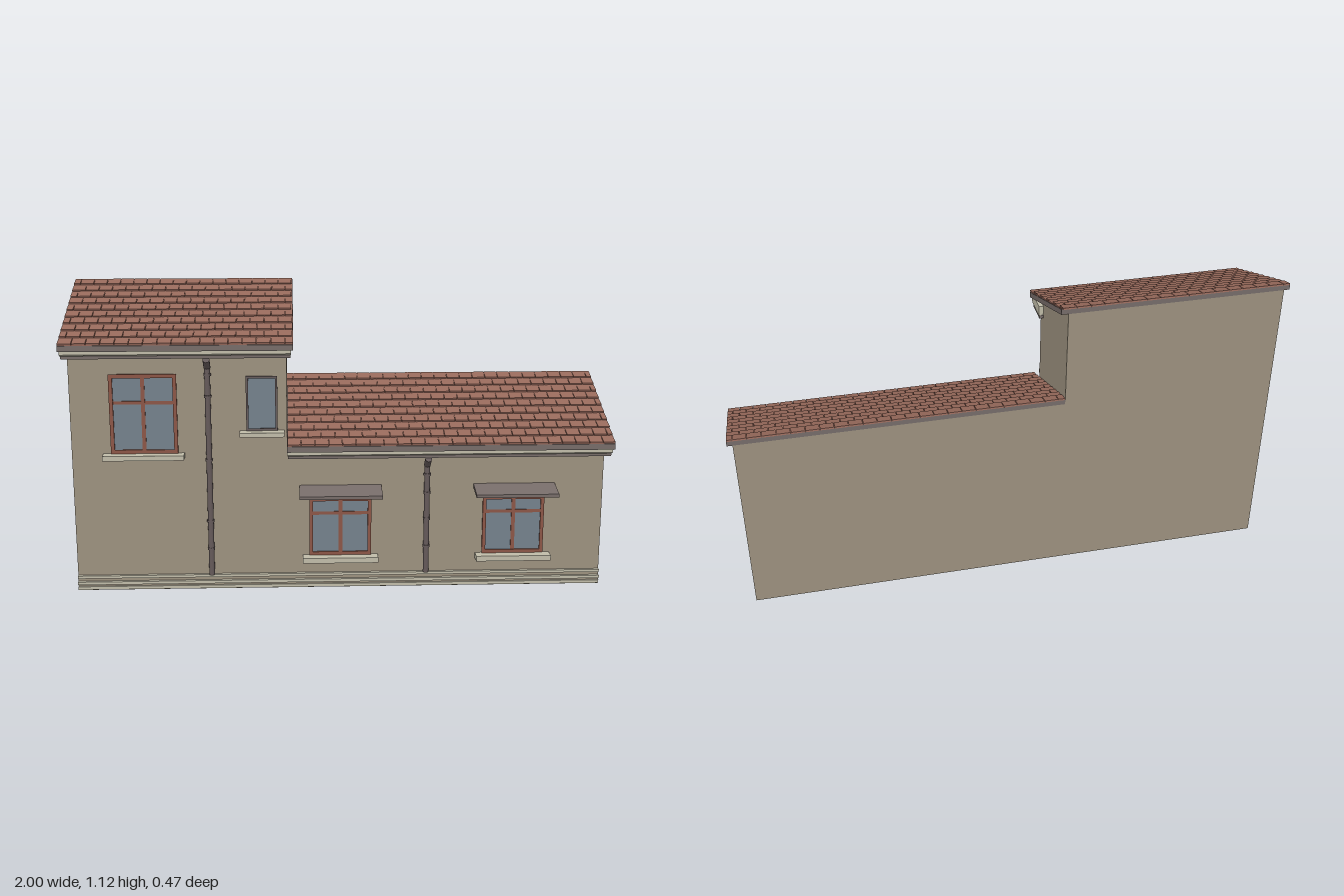
import * as THREE from 'three';
import { mergeGeometries } from 'three/addons/utils/BufferGeometryUtils.js';

const mat = (name, color) => {
  const m = new THREE.MeshStandardMaterial({ color });
  m.name = name;
  return m;
};

const BACK = -0.23, WALL = 0.145, EAVE = 0.222; // main depths along z
const SLOPE = 0.4, ANGLE = Math.atan(SLOPE);

export function createModel() {
  const M = {
    wall: mat('wall plaster', 0x9c917f),
    tile: mat('clay tile', 0x96695b),
    grey: mat('grey trim', 0x766c69),
    pipe: mat('dark pipe', 0x655a5a),
    cream: mat('cream stone', 0xc0bca9),
    frame: mat('brown frame', 0x8c5646),
    glass: mat('glass', 0x74818c),
  };
  const root = new THREE.Group();
  root.name = 'house';

  const group = (name, parent = root) => {
    const g = new THREE.Group();
    g.name = name;
    parent.add(g);
    return g;
  };
  const add = (parent, name, geo, material) => {
    const m = new THREE.Mesh(geo, material);
    m.name = name;
    parent.add(m);
    return m;
  };
  // box given by its limits
  const boxGeo = (x0, x1, y0, y1, z0, z1) =>
    new THREE.BoxGeometry(x1 - x0, y1 - y0, z1 - z0)
      .translate((x0 + x1) / 2, (y0 + y1) / 2, (z0 + z1) / 2);
  const box = (parent, name, material, ...b) => add(parent, name, boxGeo(...b), material);
  // side profile of [z, y] points swept along x
  const sweep = (parent, name, material, x0, x1, pts) => {
    const shape = new THREE.Shape(pts.map(([z, y]) => new THREE.Vector2(z, y)));
    const geo = new THREE.ExtrudeGeometry(shape, { depth: x1 - x0, bevelEnabled: false })
      .rotateY(-Math.PI / 2).translate(x1, 0, 0);
    return add(parent, name, geo, material);
  };

  // one wing: sloped walls, roof slab, overlapping tiles and boxed eaves
  function wing(name, wx0, wx1, rx0, rx1, eaveY, ex0, ex1) {
    const g = group(name);
    const under = z => eaveY + (EAVE - z) * SLOPE; // underside of the slab
    sweep(g, 'walls', M.wall, wx0, wx1,
      [[BACK, 0], [WALL, 0], [WALL, under(WALL)], [BACK, under(BACK)]]);
    const t = 0.021;
    sweep(g, 'roofSlab', M.grey, rx0, rx1,
      [[EAVE, under(EAVE)], [EAVE, under(EAVE) + t], [BACK, under(BACK) + t], [BACK, under(BACK)]]);
    sweep(g, 'tileBed', M.tile, rx0 + 0.002, rx1 - 0.002,
      [[EAVE - 0.002, under(EAVE) + t], [EAVE - 0.002, under(EAVE) + t + 0.003],
        [BACK + 0.001, under(BACK) + t + 0.003], [BACK + 0.001, under(BACK) + t]]);

    // running-bond tiles, each row lifted over the row below
    const rows = 10, width = 0.05, run = (EAVE - BACK) / rows;
    const tiles = [];
    for (let r = 0; r < rows; r++) {
      const z = EAVE - (r + 0.5) * run;
      for (let x = rx0 - (r % 2) * width / 2; x < rx1 - 0.004; x += width) {
        const a = Math.max(x, rx0) + 0.001, b = Math.min(x + width, rx1) - 0.001;
        if (b - a < 0.004) continue;
        tiles.push(new THREE.BoxGeometry(b - a, 0.006, run / Math.cos(ANGLE))
          .rotateX(ANGLE - 0.11)
          .translate((a + b) / 2, under(z) + t + 0.0035, z));
      }
    }
    add(g, 'roofTiles', mergeGeometries(tiles), M.tile);

    // boxed eaves below the overhang
    sweep(g, 'eaveBox', M.cream, ex0, ex1, [
      [0.11, eaveY - 0.018], [0.205, eaveY - 0.018], [0.216, eaveY - 0.012],
      [0.216, eaveY + 0.002], [0.17, eaveY + 0.02], [0.11, eaveY + 0.02]]);
    box(g, 'eaveBoard', M.grey, ex0 + 0.002, ex1 - 0.002, eaveY - 0.03, eaveY - 0.018, 0.108, 0.2);
    return g;
  }
  wing('tallWing', -0.98, -0.195, -1, -0.17, 0.915, -0.995, -0.178);
  wing('lowWing', -0.195, 0.98, -0.195, 1, 0.542, -0.195, 0.994);

  // stepped plinth bands along the front
  const plinth = group('plinth');
  [[0.003, 0.015, 0.157], [0.024, 0.035, 0.162], [0.047, 0.057, 0.157]].forEach(([y0, y1, z]) =>
    box(plinth, 'plinthBand', M.cream, -0.98, 0.98, y0, y1, WALL - 0.005, z));
  box(plinth, 'plinthBase', M.wall, -0.98, 0.98, 0, 0.052, WALL - 0.005, 0.15);

  // rectangular ring standing on the wall
  const ring = (parent, name, material, x0, x1, y0, y1, w, z) => {
    const g = [
      boxGeo(x0, x0 + w, y0, y1, WALL - 0.003, z), boxGeo(x1 - w, x1, y0, y1, WALL - 0.003, z),
      boxGeo(x0 + w, x1 - w, y0, y0 + w, WALL - 0.003, z),
      boxGeo(x0 + w, x1 - w, y1 - w, y1, WALL - 0.003, z)];
    add(parent, name, mergeGeometries(g), material);
  };

  function windowUnit(name, x0, x1, y0, y1, transom, material, w) {
    const g = group(name), cx = (x0 + x1) / 2;
    box(g, 'pane', M.glass, x0 + 0.004, x1 - 0.004, y0 + 0.004, y1 - 0.004, WALL - 0.004, WALL + 0.002);
    ring(g, 'frame', material, x0, x1, y0, y1, w, 0.153);
    if (transom) {
      box(g, 'mullion', material, cx - 0.007, cx + 0.007, y0 + w, y1 - w, WALL, 0.151);
      box(g, 'transom', material, x0 + w, x1 - w, transom - 0.006, transom + 0.006, WALL, 0.15);
    }
    return g;
  }
  const sill = (g, x0, x1, y0, y1) => box(g, 'sill', M.cream, x0, x1, y0, y1, WALL - 0.005, 0.19);

  const large = windowUnit('largeWindow', -0.837, -0.593, 0.526, 0.82, 0.715, M.frame, 0.014);
  sill(large, -0.865, -0.57, 0.508, 0.526);
  const small = windowUnit('smallWindow', -0.343, -0.229, 0.608, 0.81, 0, M.pipe, 0.008);
  sill(small, -0.367, -0.205, 0.592, 0.608);

  // low windows with canopies on brackets
  [0, 0.647].forEach(cx => {
    const g = windowUnit('lowWindow', cx - 0.115, cx + 0.115, 0.127, 0.35, 0.29, M.frame, 0.013);
    sill(g, cx - 0.14, cx + 0.14, 0.107, 0.127);
    sweep(g, 'canopy', M.grey, cx - 0.152, cx + 0.152,
      [[WALL - 0.003, 0.384], [0.235, 0.367], [0.235, 0.379], [WALL - 0.003, 0.398]]);
    for (const s of [-1, 1]) {
      const bx = cx + s * 0.112;
      sweep(g, 'bracket', M.pipe, bx - 0.005, bx + 0.005,
        [[WALL - 0.003, 0.355], [0.156, 0.358], [0.205, 0.374], [WALL - 0.003, 0.385]]);
    }
  });

  // downpipes with slanted heads and clamps
  function downpipe(x, top, clamps) {
    const g = group('downpipe'), z = 0.164, r = 0.0105;
    add(g, 'pipe', new THREE.CylinderGeometry(r, r, top - 0.06, 12)
      .translate(x, (top + 0.06) / 2, z), M.pipe);
    add(g, 'pipeHead', new THREE.CylinderGeometry(0.0125, 0.0125, 0.052, 12)
      .rotateX(0.87).translate(x, top + 0.014, z + 0.018), M.pipe);
    clamps.forEach(y => {
      add(g, 'clamp', new THREE.CylinderGeometry(0.0135, 0.0135, 0.009, 12).translate(x, y, z), M.pipe);
      box(g, 'clampArm', M.pipe, x - 0.004, x + 0.004, y - 0.004, y + 0.004, WALL - 0.003, z);
    });
  }
  downpipe(-0.48, 0.85, [0.163, 0.27, 0.503, 0.74, 0.82]);
  downpipe(0.32, 0.478, [0.163, 0.27, 0.37, 0.44]);

  return root;
}
